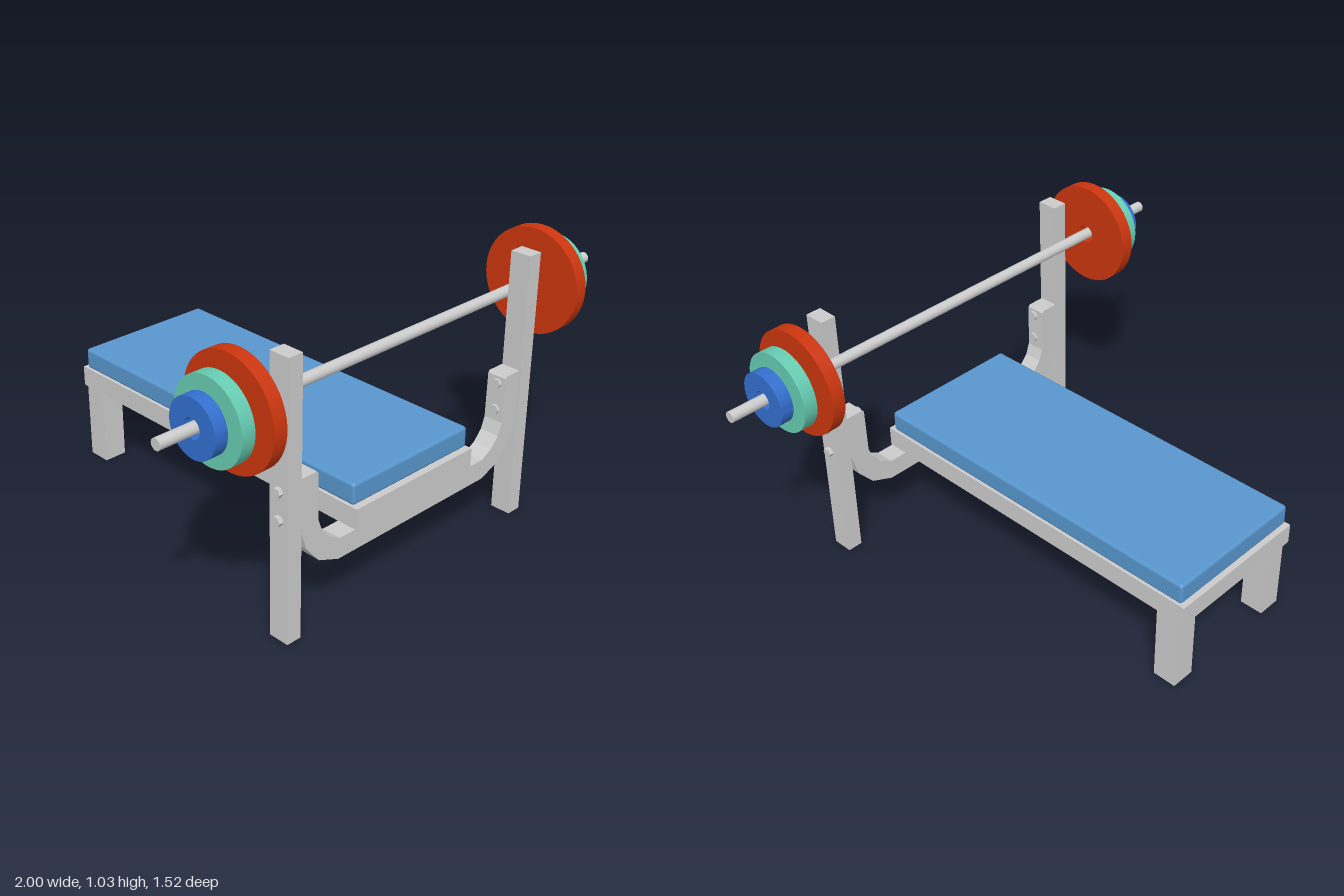
import * as THREE from 'three';
import { toCreasedNormals } from 'three/addons/utils/BufferGeometryUtils.js';
import { RoundedBoxGeometry } from 'three/addons/geometries/RoundedBoxGeometry.js';

const material = (color) => new THREE.MeshStandardMaterial({ color });

const BAR_Y = 0.84, BAR_Z = 0.567;

export function createModel() {
  const model = new THREE.Group();
  const grey = material(0xcccccc);

  function add(name, geometry, mat, x, y, z) {
    const mesh = new THREE.Mesh(geometry, mat);
    mesh.name = name;
    mesh.position.set(x, y, z);
    model.add(mesh);
    return mesh;
  }

  // Box given by its lower and upper corners
  function addBox(name, [x0, y0, z0], [x1, y1, z1]) {
    add(name, new THREE.BoxGeometry(x1 - x0, y1 - y0, z1 - z0), grey,
      (x0 + x1) / 2, (y0 + y1) / 2, (z0 + z1) / 2);
  }

  // Rod lying along x
  function addRod(name, radius, length, sides, x, y, z) {
    const geometry = new THREE.CylinderGeometry(radius, radius, length, sides).rotateZ(Math.PI / 2);
    add(name, sides > 8 ? geometry : toCreasedNormals(geometry, 0.5), grey, x, y, z);
  }

  // Weight plate: a disc with a centre hole, axis along x
  function plateGeometry(radius, width) {
    const hole = 0.034, h = width / 2;
    const profile = [[hole, -h], [radius, -h], [radius, h], [hole, h], [hole, -h]]
      .map(([r, y]) => new THREE.Vector2(r, y));
    return toCreasedNormals(new THREE.LatheGeometry(profile, 64).rotateZ(Math.PI / 2), 0.6);
  }

  // Bench: padded top on a flat frame
  addBox('benchFrame', [-0.285, 0.29, -0.76], [0.285, 0.367, 0.667]);
  add('pad', new RoundedBoxGeometry(0.56, 0.08, 1.39, 3, 0.012), material(0x5896cd), 0, 0.407, -0.048);

  // U-shaped cradle carrying the bench between the uprights
  const half = [
    [0.36, 0.215], [0.447, 0.25], [0.505, 0.317], [0.53, 0.4], [0.53, 0.577], [0.462, 0.577],
    [0.455, 0.57], [0.452, 0.4], [0.436, 0.355], [0.402, 0.317], [0.355, 0.291],
  ];
  const outline = [...half, ...half.map(([x, y]) => [-x, y]).reverse()];
  const cradle = new THREE.Shape(outline.map(([x, y]) => new THREE.Vector2(x, y)));
  add('cradle', new THREE.ExtrudeGeometry(cradle, { depth: 0.075, bevelEnabled: false }), grey, 0, 0, 0.587);

  // Barbell
  addRod('bar', 0.02, 2, 32, 0, BAR_Y, BAR_Z);
  const plates = [
    { name: 'largePlate', radius: 0.194, width: 0.05, x: 0.709, mat: material(0xcb350e) },
    { name: 'mediumPlate', radius: 0.146, width: 0.05, x: 0.786, mat: material(0x66ccb2) },
    { name: 'smallPlate', radius: 0.099, width: 0.047, x: 0.845, mat: material(0x336fcf) },
  ];

  for (const [side, s] of [['left', 1], ['right', -1]]) {
    // Uprights and rear legs
    addBox(`${side}Upright`, [s * 0.56 - 0.029, 0, 0.588], [s * 0.56 + 0.029, 1, 0.667]);
    addBox(`${side}RearLeg`, [s * 0.24 - 0.045, 0, -0.74], [s * 0.24 + 0.045, 0.29, -0.65]);

    // Hexagonal bolts through upright and cradle
    for (const y of [0.445, 0.545]) addRod(`${side}Bolt`, 0.018, 0.162, 6, s * 0.524, y, 0.63);

    for (const p of plates) {
      add(`${side}${p.name[0].toUpperCase()}${p.name.slice(1)}`,
        plateGeometry(p.radius, p.width), p.mat, s * p.x, BAR_Y, BAR_Z);
    }
  }

  return model;
}
